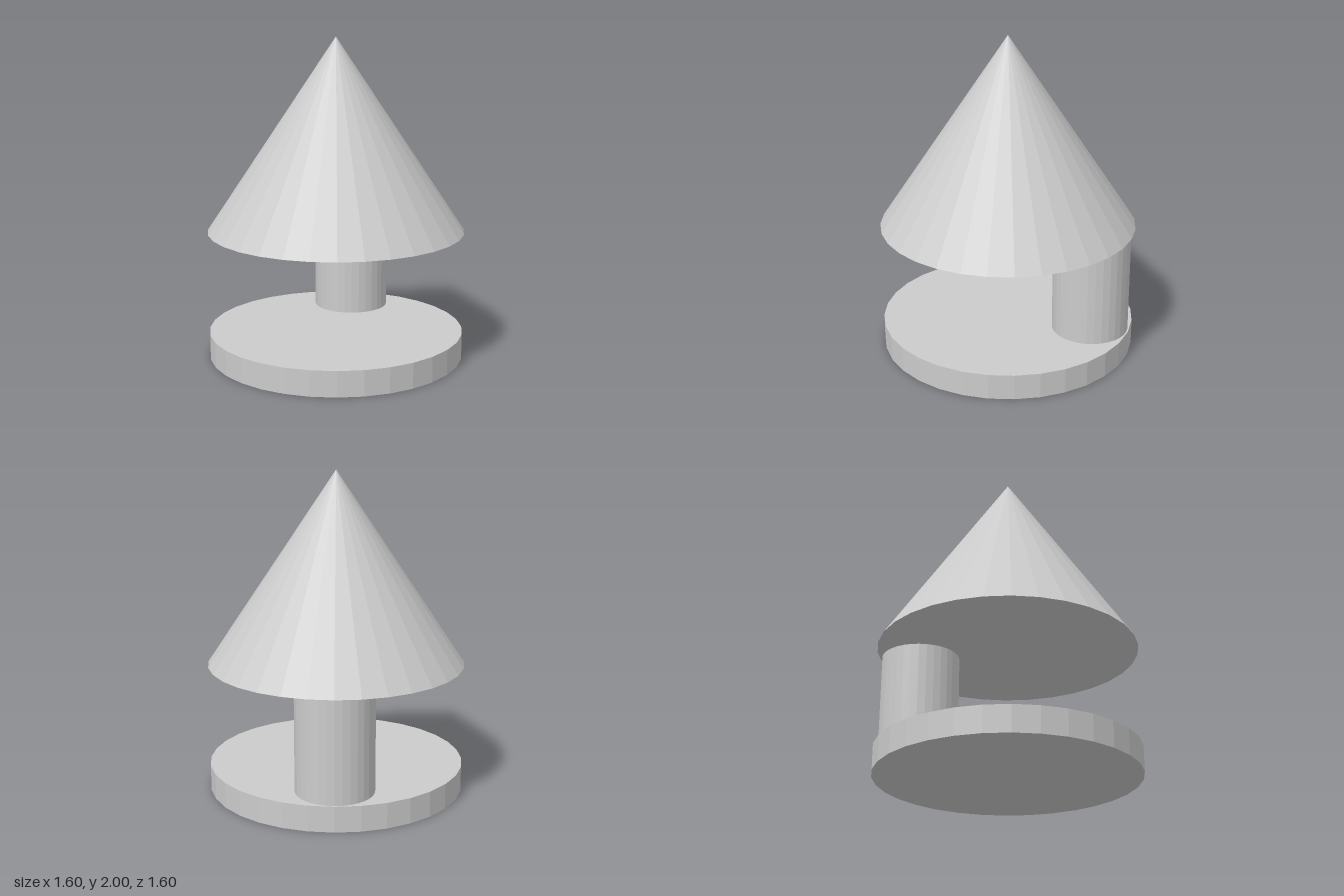
import * as THREE from 'three';

const SIDES = 32;
const material = new THREE.MeshStandardMaterial({ color: 0xcccccc, flatShading: true });

// Upright round part standing on height y, set back by z
function roundPart(name, topRadius, bottomRadius, height, y, z = 0) {
  const geometry = new THREE.CylinderGeometry(topRadius, bottomRadius, height, SIDES);
  const mesh = new THREE.Mesh(geometry, material);
  mesh.name = name;
  mesh.position.set(0, y + height / 2, z);
  return mesh;
}

export function createModel() {
  const model = new THREE.Group();
  model.name = 'coneOnPost';
  model.add(
    roundPart('base', 0.8, 0.8, 0.16, 0),
    // Post near the back rim of the base
    roundPart('post', 0.24, 0.24, 0.64, 0.16, -0.55),
    roundPart('coneRoof', 0, 0.8, 1.2, 0.8),
  );
  return model;
}
